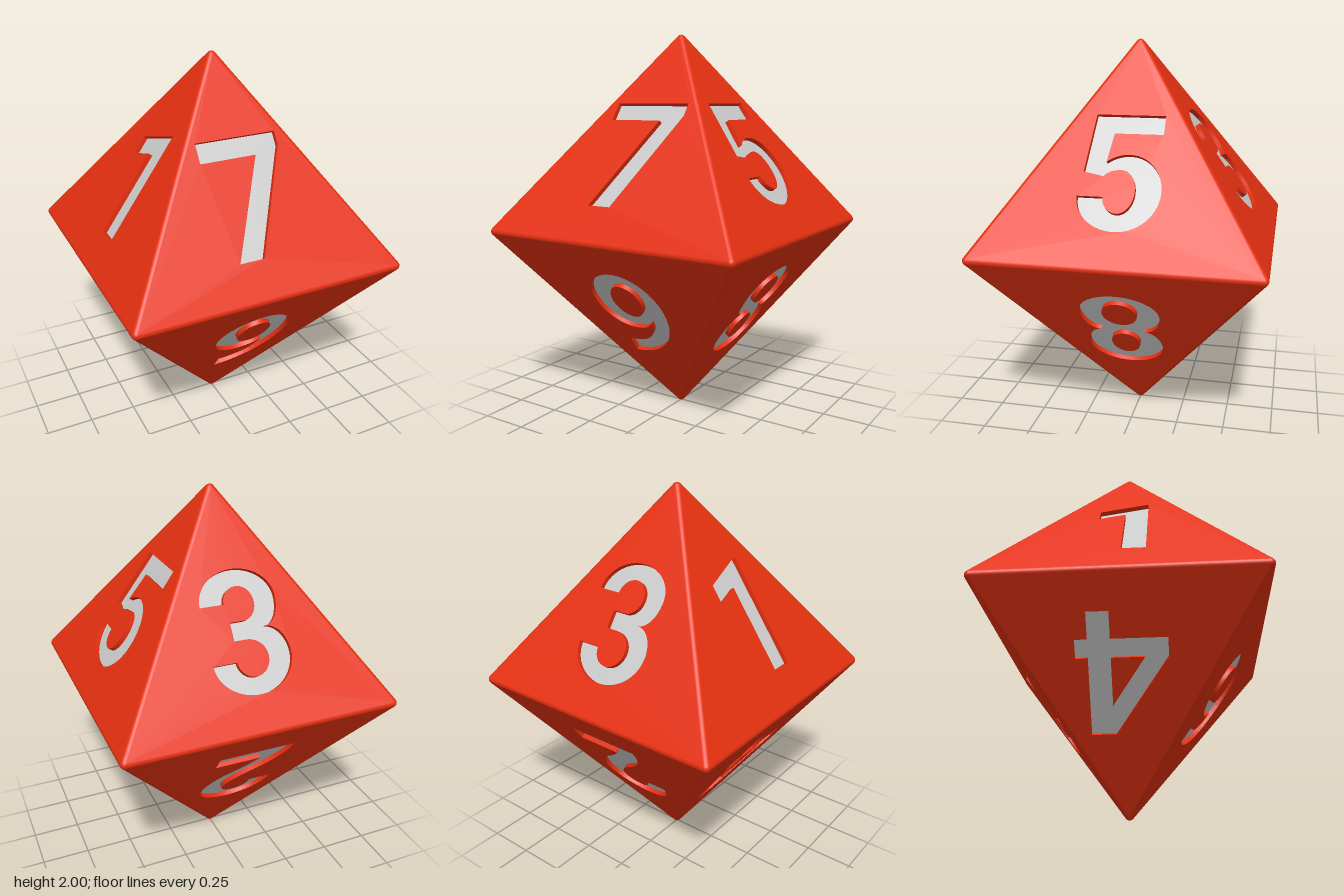
import * as THREE from 'three';

const ROUND = 0.024;            // edge rounding radius
const CORE = 1 - ROUND;         // centre-to-corner distance of the sharp core
const FACE = CORE / Math.sqrt(3) + ROUND; // centre-to-face distance
const DEPTH = 0.023;            // depth of the engraving
const BASE = -0.212;            // engraving baseline on the face

// Engraved marks in hundredths: first contour is the outline, the rest are islands.
// H / V draw a quarter ellipse that leaves horizontally / vertically.
const MARKS = {
  1: ['M .5 0 L 12.5 0 L 12.5 59 L -13 50 L -13 40.5 L .5 45'],
  2: ['M 20 0 L 20 9.5 L -4 9.5 Q -2 14 8 22 Q 20 31 20 43 V 0 59.5 H -19.5 41 L -7.5 41 V 0 50 H 8 43 Q 8 36 -3 27 Q -20 14 -20 0'],
  3: ['M -20 15 V 0 -1.5 H 20.5 16.5 V 10 30 H 19 44 V 0 59.5 H -20 43 L -8 43 V 0 51 H 7.5 42.5 V 0 34 L -7 34 L -7 25 L -1 25 H 8.5 16 V 0 7 H -8 15'],
  4: ['M 5 0 L 16 0 L 16 13 L 22 13 L 22 22 L 16 22 L 16 59 L 4 59 L -22 22 L -22 13 L 5 13',
    'M 5 22 L 5 45 L -11 22'],
  5: ['M -16 59 L 18 59 L 18 49 L -6 49 L -8 34 Q -3 38 3 38 H 20 19 V 0 -1 H -20 16 L -7.5 16 V 0 8 H 7.5 19 V 0 30 Q -6 30 -8.5 26.5 L -18.5 28.5'],
  6: ['M 11 59 H -20.5 24 V 0 -1 H 20.5 19 V 3 38.5 Q -5 38.5 -9 33 Q -7 49.5 11 49.5',
    'M 0 7.5 H 8.8 18.5 V 0 29.5 H -8.8 18.5 V 0 7.5'],
  7: ['M -21 59 L 21 59 L 21 52 L -1.6 0 L -14.3 0 L 8 49 L -21 49'],
  8: ['M 0 -1 H 20 14.5 V 11 29.5 H 19 43 V 0 59.5 H -19 43 V -11 29.5 H -20 14.5 V 0 -1',
    'M 0 6 H 8.7 15 V 0 24 H -8.7 15 V 0 6',
    'M 0 32.5 H 7.3 41 V 0 50 H -7.3 41 V 0 32.5'],
};

// Turns a contour string into points on the face
function contour(text) {
  const path = new THREE.Path();
  const t = text.split(' ');
  const K = 0.5523;
  let i = 0;
  const next = () => [Number(t[i++]) / 100, Number(t[i++]) / 100 + BASE];
  while (i < t.length) {
    const command = t[i++];
    const [x, y] = next();
    const { x: px, y: py } = path.currentPoint;
    if (command === 'M') path.moveTo(x, y);
    else if (command === 'L') path.lineTo(x, y);
    else if (command === 'H') path.bezierCurveTo(px + K * (x - px), py, x, y - K * (y - py), x, y);
    else if (command === 'V') path.bezierCurveTo(px, py + K * (y - py), x - K * (x - px), y, x, y);
    else path.quadraticCurveTo(x, y, ...next());
  }
  const points = path.getPoints(14);
  if (points[0].distanceTo(points[points.length - 1]) < 1e-5) points.pop();
  return points;
}

function shapeOf(points, holes = []) {
  const shape = new THREE.Shape(points);
  shape.holes = holes.map((h) => new THREE.Path(h));
  return shape;
}

// Side walls of the engraving along the contours
function wallGeometry(contours) {
  const pos = [];
  for (const c of contours) {
    c.forEach((p, i) => {
      const q = c[(i + 1) % c.length];
      pos.push(p.x, p.y, 0, p.x, p.y, -DEPTH, q.x, q.y, -DEPTH);
      pos.push(p.x, p.y, 0, q.x, q.y, -DEPTH, q.x, q.y, 0);
    });
  }
  const g = new THREE.BufferGeometry();
  g.setAttribute('position', new THREE.Float32BufferAttribute(pos, 3));
  g.computeVertexNormals();
  return g;
}

export function createModel() {
  const model = new THREE.Group();
  model.name = 'eightSidedDie';
  const red = new THREE.MeshStandardMaterial({ color: 0xe63010 });
  const redWall = new THREE.MeshStandardMaterial({ color: 0xe63010, side: THREE.DoubleSide });
  const grey = new THREE.MeshStandardMaterial({ color: 0xcccccc });
  const add = (parent, name, geometry, material) => {
    const mesh = new THREE.Mesh(geometry, material);
    mesh.name = name;
    parent.add(mesh);
    return mesh;
  };

  // Flat faces, each with its sunken mark; "up" on a face points to its apex
  const side = CORE * Math.SQRT2;
  const tall = side * Math.sqrt(3) / 2;
  const triangle = [[-side / 2, -tall / 3], [side / 2, -tall / 3], [0, tall * 2 / 3]]
    .map(([x, y]) => new THREE.Vector2(x, y));
  const A = Math.sqrt(1 / 3), B = Math.sqrt(2 / 3);
  const addFace = (digit, turn, s) => {
    const face = new THREE.Group();
    face.name = (s > 0 ? 'upper' : 'lower') + ['Front', 'Left', 'Back', 'Right'][turn] + 'Face';
    const contours = MARKS[digit].map(contour);
    const [outline, ...islands] = contours;
    const skin = [shapeOf(triangle, [outline]), ...islands.map((p) => shapeOf(p))];
    add(face, 'faceSkin', new THREE.ShapeGeometry(skin), red);
    add(face, 'engravingWalls', wallGeometry(contours), redWall);
    add(face, 'engravingFloor', new THREE.ShapeGeometry(shapeOf(outline, islands)), grey).position.z = -DEPTH;

    const normal = new THREE.Vector3(0, s * A, B);
    const frame = new THREE.Matrix4().makeBasis(
      new THREE.Vector3(s, 0, 0), new THREE.Vector3(0, s * B, -A), normal);
    frame.setPosition(normal.multiplyScalar(FACE));
    frame.premultiply(new THREE.Matrix4().makeRotationY(turn * Math.PI / 2));
    frame.premultiply(new THREE.Matrix4().makeTranslation(0, 1, 0));
    face.applyMatrix4(frame);
    model.add(face);
  };
  [7, 5, 3, 1].forEach((digit, turn) => addFace(digit, turn, 1));
  [6, 8, 2, 4].forEach((digit, turn) => addFace(digit, turn, -1));

  // Rounded corners
  const h = CORE / Math.SQRT2;
  const corners = [[0, CORE, 0], [0, -CORE, 0], [h, 0, h], [-h, 0, -h], [h, 0, -h], [-h, 0, h]]
    .map((p) => new THREE.Vector3(...p));
  const ball = new THREE.SphereGeometry(ROUND, 32, 20);
  for (const c of corners) {
    const corner = add(model, 'roundedCorner', ball, red);
    corner.position.copy(c);
    corner.position.y += 1;
  }

  // Rounded edges: cylinder strips spanning the angle between two faces
  const arc = Math.acos(1 / 3);
  const strip = new THREE.CylinderGeometry(ROUND, ROUND, side, 10, 1, true, -arc / 2, arc);
  corners.forEach((a, i) => corners.slice(i + 1).forEach((b) => {
    const middle = a.clone().add(b).multiplyScalar(0.5);
    if (middle.length() < 0.01) return; // opposite corners share no edge
    const along = b.clone().sub(a).normalize();
    const out = middle.clone().normalize();
    const frame = new THREE.Matrix4().makeBasis(along.clone().cross(out), along, out);
    frame.setPosition(middle.x, middle.y + 1, middle.z);
    add(model, 'roundedEdge', strip, red).applyMatrix4(frame);
  }));
  return model;
}
